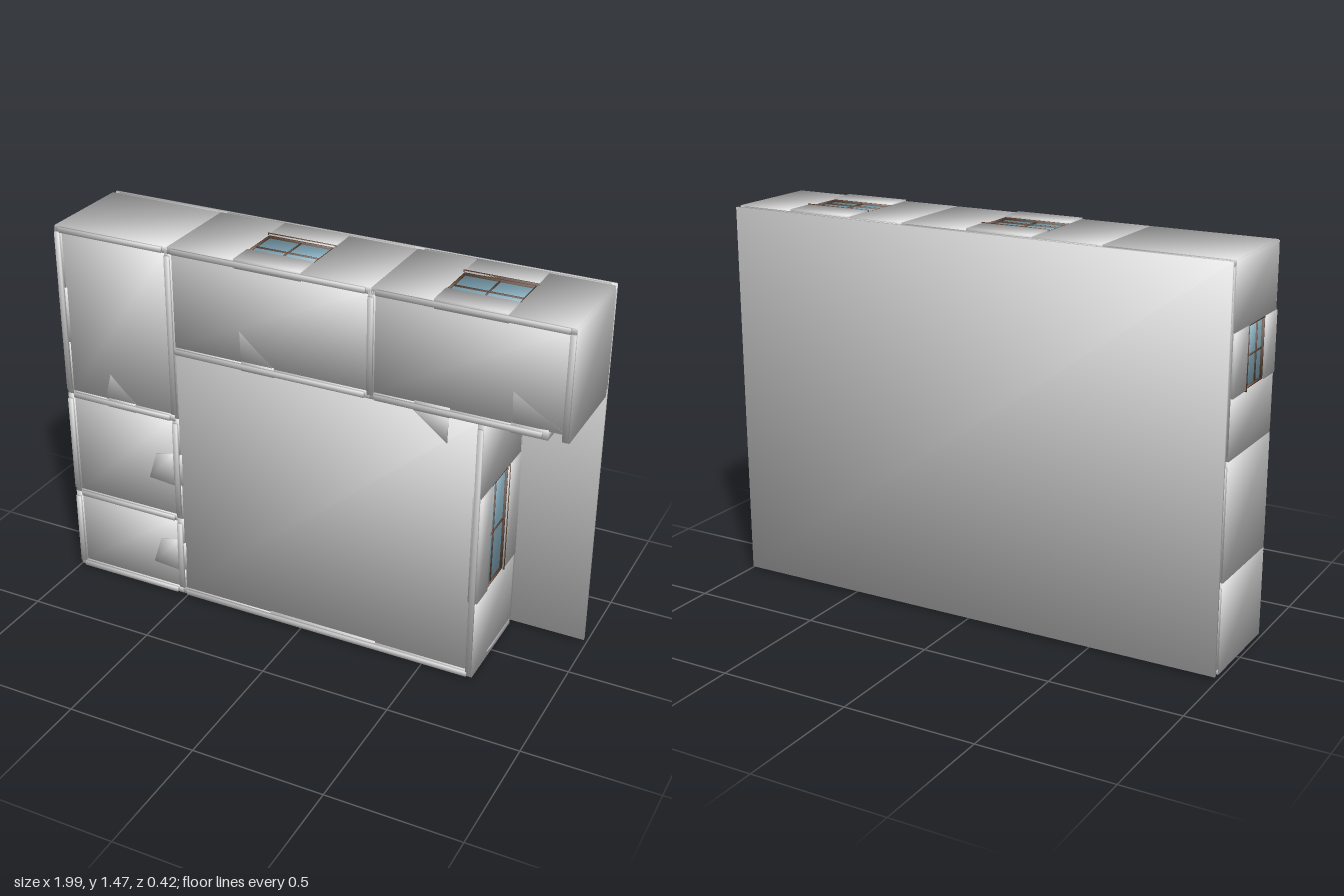
import * as THREE from 'three';

const FLOOR = -0.18, TOP = 0.2;      // wall range along z
const SILL = -0.06, HEAD = 0.1;      // window range along z
const THICK = 0.026, BULGE = 0.036;  // wall thickness, plain and at openings

const grey = new THREE.MeshStandardMaterial({ color: 0xcccccc });
const wood = new THREE.MeshStandardMaterial({ color: 0x5a4030 });
const doorWood = new THREE.MeshStandardMaterial({ color: 0x9a6a40 });
const glass = new THREE.MeshStandardMaterial({ color: 0x8fb8ca });

// Smooth shading across all edges: every corner normal points diagonally outward
function soften(geometry) {
  const p = geometry.attributes.position, n = geometry.attributes.normal, v = new THREE.Vector3();
  for (let i = 0; i < p.count; i++) {
    v.set(Math.sign(p.getX(i)), Math.sign(p.getY(i)), Math.sign(p.getZ(i))).normalize();
    n.setXYZ(i, v.x, v.y, v.z);
  }
  return geometry;
}

// Box given by its limits
function box(parent, name, x0, x1, y0, y1, z0, z1, mat = grey) {
  const m = new THREE.Mesh(soften(new THREE.BoxGeometry(x1 - x0, y1 - y0, z1 - z0)), mat);
  m.position.set((x0 + x1) / 2, (y0 + y1) / 2, (z0 + z1) / 2);
  m.name = name;
  parent.add(m);
}

// Box inside a wall running along x or y at coordinate c, from u0 to u1
function wallBox(parent, name, along, c, u0, u1, z0, z1, t, mat) {
  if (along === 'x') box(parent, name, u0, u1, c - t / 2, c + t / 2, z0, z1, mat);
  else box(parent, name, c - t / 2, c + t / 2, u0, u1, z0, z1, mat);
}

// Framed window with one cross bar, one post and a slim sill
function addWindow(parent, along, c, u0, u1) {
  const g = new THREE.Group();
  g.name = 'window';
  const f = 0.005, mid = (u0 + u1) / 2;
  const part = (name, a, b, z0, z1, t, mat = wood) => wallBox(g, name, along, c, a, b, z0, z1, t, mat);
  part('glass', u0, u1, SILL, HEAD, 0.006, glass);
  part('frameSide', u0, u0 + f, SILL, HEAD, 0.024);
  part('frameSide', u1 - f, u1, SILL, HEAD, 0.024);
  part('frameHead', u0, u1, HEAD - f, HEAD, 0.024);
  part('frameFoot', u0, u1, SILL, SILL + f, 0.024);
  part('post', mid - 0.002, mid + 0.002, SILL, HEAD, 0.016);
  part('crossBar', u0, u1, 0.041, 0.045, 0.016);
  part('sill', u0 - 0.005, u1 + 0.005, SILL - 0.005, SILL, 0.04);
  parent.add(g);
}

// Door frame lining an opening, with the closed leaf
function addDoor(parent, along, c, u0, u1) {
  const g = new THREE.Group();
  g.name = 'door';
  const f = 0.008;
  wallBox(g, 'jamb', along, c, u0, u0 + f, FLOOR, HEAD, BULGE, wood);
  wallBox(g, 'jamb', along, c, u1 - f, u1, FLOOR, HEAD, BULGE, wood);
  wallBox(g, 'lintelTrim', along, c, u0, u1, HEAD - f, HEAD, BULGE, wood);
  wallBox(g, 'leaf', along, c, u0 + f, u1 - f, FLOOR, HEAD - f, 0.012, doorWood);
  parent.add(g);
}

// Wall with openings listed in order as [kind, start, end]
function addWall(parent, name, along, c, u0, u1, openings = []) {
  const g = new THREE.Group();
  g.name = name;
  let at = u0;
  for (const [kind, a, b] of openings) {
    wallBox(g, 'panel', along, c, at, a, FLOOR, TOP, THICK);
    wallBox(g, 'lintel', along, c, a, b, HEAD, TOP, BULGE);
    if (kind === 'window') {
      wallBox(g, 'parapet', along, c, a, b, FLOOR, SILL, BULGE);
      addWindow(g, along, c, a, b);
    } else addDoor(g, along, c, a, b);
    at = b;
  }
  if (u1 > at) wallBox(g, 'panel', along, c, at, u1, FLOOR, TOP, THICK);
  wallBox(g, 'frontCap', along, c, u0 + 0.02, u1 - 0.02, TOP, TOP + 0.01, 0.02);
  wallBox(g, 'backCap', along, c, u0 + 0.02, u1 - 0.02, -0.2, FLOOR, 0.02);
  parent.add(g);
}

// Thin flat panel lying on the ceiling beside a doorway
function addDoorPanel(parent, pts) {
  const shape = new THREE.Shape(pts.map(([x, y]) => new THREE.Vector2(x, y)));
  const geometry = new THREE.ExtrudeGeometry(shape, { depth: 0.005, bevelEnabled: false });
  const centre = geometry.translate(0, 0, 0.194).boundingBox ?? new THREE.Box3().setFromBufferAttribute(geometry.attributes.position);
  const mid = centre.getCenter(new THREE.Vector3());
  const m = new THREE.Mesh(soften(geometry.center()), grey);
  m.position.copy(mid);
  m.name = 'doorPanel';
  parent.add(m);
}

export function createModel() {
  const model = new THREE.Group();
  model.name = 'floorPlan';

  // Base slab
  box(model, 'baseSlab', -0.99, 0.99, 0.012, 1.46, -0.21, -0.2);

  // Floor and ceiling of each room: x range, y range
  const rooms = [
    [-0.967, -0.53, 0.035, 0.337], [-0.967, -0.53, 0.363, 0.77], [-0.967, -0.53, 0.796, 1.437],
    [-0.504, 0.262, 1.075, 1.437], [0.288, 0.967, 1.075, 1.437], [-0.504, 0.674, 0.035, 1.049],
  ];
  for (const r of rooms) {
    box(model, 'roomFloor', ...r, -0.2, -0.185);
    box(model, 'ceiling', ...r, 0.18, 0.195);
  }

  // Outer walls, one per room
  addWall(model, 'lowerWall', 'x', 0.022, -0.99, -0.517);
  addWall(model, 'lowerWall', 'x', 0.022, -0.517, 0.7, [['window', -0.13, 0.31]]);
  addWall(model, 'upperWall', 'x', 1.45, -0.99, -0.517);
  addWall(model, 'upperWall', 'x', 1.45, -0.517, 0.275, [['window', -0.25, 0.01]]);
  addWall(model, 'upperWall', 'x', 1.45, 0.275, 0.99, [['window', 0.5, 0.76]]);
  addWall(model, 'farWall', 'y', -0.98, 0.012, 0.35);
  addWall(model, 'farWall', 'y', -0.98, 0.35, 0.783);
  addWall(model, 'farWall', 'y', -0.98, 0.783, 1.46, [['window', 1.0, 1.22]]);
  addWall(model, 'roomEndWall', 'y', 0.98, 1.05, 1.46);
  addWall(model, 'hallEndWall', 'y', 0.687, 0.012, 1.05, [['window', 0.33, 0.76]]);

  // Inner walls
  addWall(model, 'hallUpperWall', 'x', 1.062, -0.517, 0.275, [['door', -0.23, -0.1]]);
  addWall(model, 'hallUpperWall', 'x', 1.062, 0.275, 0.92, [['door', 0.44, 0.57], ['door', 0.79, 0.92]]);
  addWall(model, 'hallSideWall', 'y', -0.517, 0.02, 0.35, [['door', 0.12, 0.24]]);
  addWall(model, 'hallSideWall', 'y', -0.517, 0.35, 0.783, [['door', 0.5, 0.63]]);
  addWall(model, 'hallSideWall', 'y', -0.517, 0.783, 1.45);
  addWall(model, 'smallRoomWall', 'x', 0.35, -0.98, -0.517);
  addWall(model, 'bedroomWall', 'x', 0.783, -0.98, -0.517, [['door', -0.81, -0.69]]);
  addWall(model, 'roomDivider', 'y', 0.275, 1.062, 1.45);

  // Door panels
  addDoorPanel(model, [[-0.235, 1.195], [-0.23, 1.075], [-0.1, 1.075]]);
  addDoorPanel(model, [[0.79, 1.195], [0.795, 1.075], [0.967, 1.085]]);
  addDoorPanel(model, [[0.43, 1.05], [0.565, 0.945], [0.567, 1.05]]);
  addDoorPanel(model, [[-0.795, 0.9], [-0.82, 0.795], [-0.685, 0.795]]);
  for (const y of [0.12, 0.5])
    addDoorPanel(model, [[-0.645, y], [-0.53, y - 0.01], [-0.53, y + 0.13], [-0.61, y + 0.11]]);

  return model;
}
